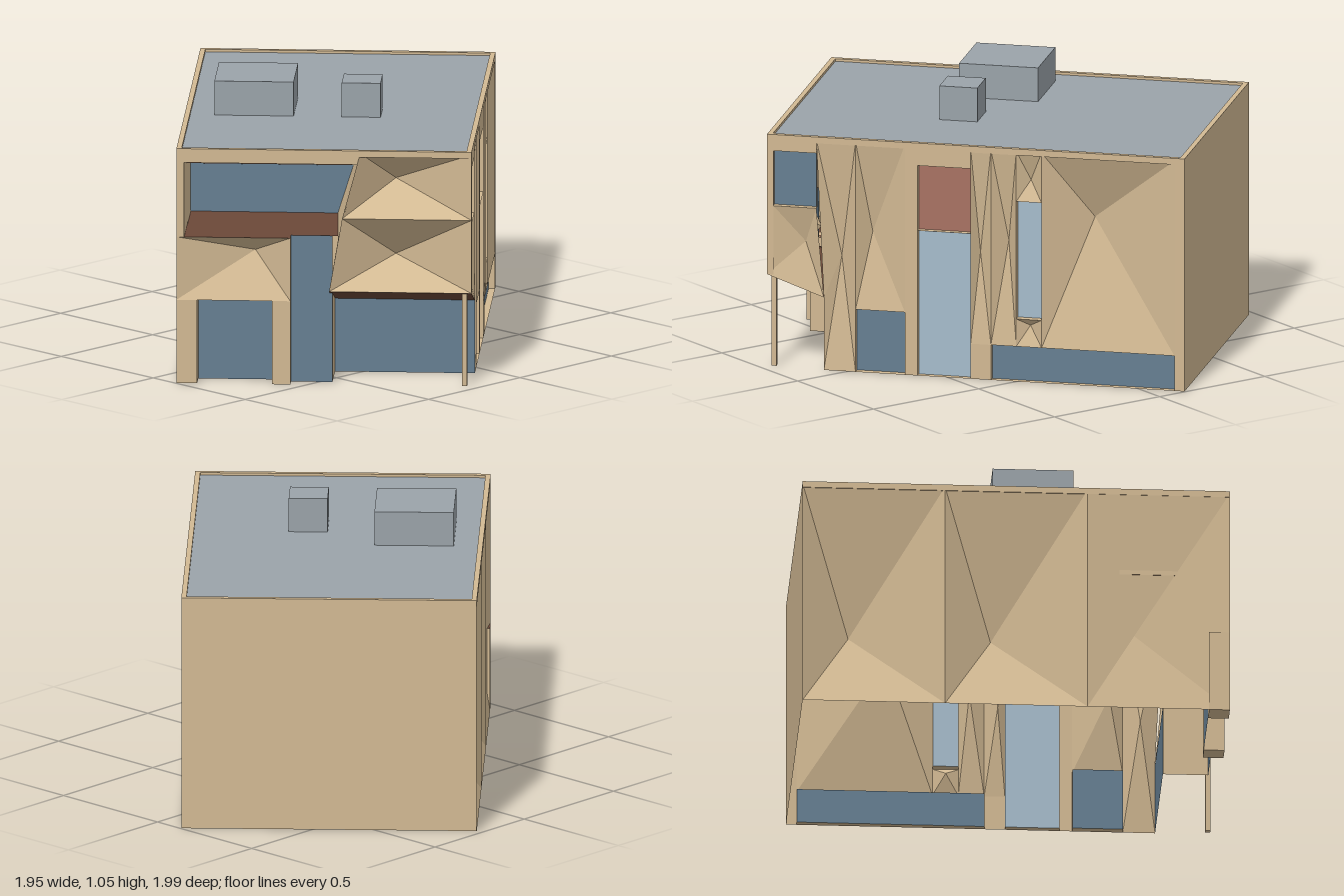
import * as THREE from 'three';

const W = 0.57, L = 0.825, H = 0.92; // half width, half length, wall height
const mat = (color) => new THREE.MeshStandardMaterial({ color, flatShading: true, side: THREE.DoubleSide });
const stone = mat(0xd2b993), glass = mat(0x667f92), paleGlass = mat(0xa6bccb),
  red = mat(0xa87263), brown = mat(0x6b4838), grey = mat(0x9aa3a9);

// Facade coordinates (along, height, depth inwards) to building coordinates
const front = (u, y, d = 0) => [u, y, L - d];
const right = (u, y, d = 0) => [W - d, y, u];
const left = (u, y, d = 0) => [-W + d, y, u];

export function createModel() {
  const model = new THREE.Group();
  const house = new THREE.Group();
  house.name = 'house';
  house.rotation.y = 0.726;
  model.add(house);

  // One mesh from flat convex polygons, each cut into a fan
  function facets(name, material, polygons) {
    const pos = [];
    for (const p of polygons)
      for (let i = 1; i < p.length - 1; i++) pos.push(...p[0], ...p[i], ...p[i + 1]);
    const g = new THREE.BufferGeometry();
    g.setAttribute('position', new THREE.Float32BufferAttribute(pos, 3));
    g.computeVertexNormals();
    const mesh = new THREE.Mesh(g, material);
    mesh.name = name;
    house.add(mesh);
  }
  function box(name, material, x0, x1, y0, y1, z0, z1) {
    const mesh = new THREE.Mesh(new THREE.BoxGeometry(x1 - x0, y1 - y0, z1 - z0), material);
    mesh.position.set((x0 + x1) / 2, (y0 + y1) / 2, (z0 + z1) / 2);
    mesh.name = name;
    house.add(mesh);
  }
  const rect = (u0, u1, y0, y1) => [[u0, y0], [u1, y0], [u1, y1], [u0, y1]];
  const panel = (name, face, corners, material = stone) =>
    facets(name, material, [corners.map((c) => face(...c))]);
  // Panel folded inwards to one point
  const dent = (name, face, corners, tip) =>
    facets(name, stone, corners.map((c, i) => [face(...c), face(...corners[(i + 1) % corners.length]), face(...tip)]));
  // Recessed pane with its reveals
  function opening(name, face, u0, u1, y0, y1, d, material) {
    const r = rect(u0, u1, y0, y1);
    panel(name, face, r.map((c) => [...c, d]), material);
    facets(name + 'Reveal', stone, r.map((c, i) => {
      const n = r[(i + 1) % 4];
      return [face(...c), face(...n), face(...n, d), face(...c, d)];
    }));
  }

  // Back wall
  facets('backWall', stone, [[[-W, 0, -L], [W, 0, -L], [W, H, -L], [-W, H, -L]]]);

  // Left wall: three folded bays
  const bay = (2 * L) / 3;
  [0.146, 0.146, 0.055].forEach((d, i) => {
    const a = -L + i * bay, b = a + bay;
    const tl = left(a, H), bl = left(a, 0), br = left(b, 0), tr = left(b, H), p = left(a + bay / 3, 0.33, d);
    facets('leftWallBay', stone, [[bl, p, tl], [bl, br, p], [tl, p, tr], [p, br, tr]]);
  });

  // Right wall, from the front corner to the back
  panel('cornerStrip', right, rect(0.8, L, 0.37, H));
  opening('upperCornerWindow', right, 0.63, 0.8, 0.645, 0.865, 0.025, glass);
  panel('cornerWindowHead', right, rect(0.63, 0.8, 0.865, H));
  dent('cornerWindowApron', right, [[0.8, 0.645], [0.63, 0.645], [0.6, 0.29], [L, 0.37]], [0.68, 0.5, 0.04]);
  dent('foldedPanel', right, [[0.63, H], [0.475, H], [0.475, 0], [0.6, 0], [0.6, 0.29]], [0.54, 0.45, 0.05]);
  dent('foldedPanel', right, rect(0.28, 0.475, 0.25, H), [0.42, 0.55, 0.06]);
  opening('lowWindow', right, 0.28, 0.475, 0, 0.25, 0.03, glass);
  panel('doorStrip', right, rect(0.23, 0.28, 0, H));
  opening('tallWindow', right, 0.02, 0.23, 0, 0.58, 0.025, paleGlass);
  opening('redPanel', right, 0.02, 0.23, 0.58, 0.84, 0.025, red);
  panel('doorHead', right, rect(0.02, 0.23, 0.84, H));
  dent('foldedPanel', right, rect(-0.06, 0.02, 0.14, H), [-0.01, 0.5, 0.04]);
  panel('foldedPanelBase', right, rect(-0.06, 0.02, 0, 0.14));
  dent('foldedPanel', right, rect(-0.16, -0.06, 0.14, H), [-0.12, 0.55, 0.05]);
  opening('narrowWindow', right, -0.26, -0.16, 0.25, 0.72, 0.03, paleGlass);
  dent('narrowWindowSill', right, rect(-0.26, -0.16, 0.14, 0.25), [-0.21, 0.22, 0.03]);
  dent('narrowWindowHead', right, rect(-0.26, -0.16, 0.72, H), [-0.21, 0.8, 0.04]);
  dent('largeFoldedPanel', right, rect(-0.785, -0.26, 0.14, H), [-0.445, 0.645, 0.12]);
  opening('longLowWindow', right, -0.785, -0.06, 0, 0.14, 0.025, glass);
  panel('backStrip', right, rect(-L, -0.785, 0, H));

  // Front upper right: two stacked folded panels
  dent('upperFrontFold', front, [[0.14, H], [0.07, 0.66], [W, 0.66], [W, H]], [0.27, 0.79, 0.15]);
  dent('lowerFrontFold', front, [[0.07, 0.66], [0.02, 0.37], [W, 0.37], [W, 0.66]], [0.27, 0.49, 0.15]);

  // Terrace behind the front opening
  panel('terraceBeam', front, [[-W, 0.875], [0.128, 0.875], [0.14, H], [-W, H]]);
  panel('terracePillar', front, rect(-W, -0.54, 0.58, 0.875));
  facets('terraceFloor', brown, [
    [[-0.54, 0.58, 0.4], [-0.54, 0.58, L], [-0.13, 0.58, L], [-0.13, 0.58, 0.4]],
    [[-0.13, 0.58, 0.4], [-0.13, 0.58, 0.775], [0.055, 0.58, 0.775], [0.03, 0.58, 0.4]]]);
  facets('terraceCeiling', brown, [[[-0.54, 0.875, L], [0.128, 0.875, L], [0.09, 0.77, 0.4], [-0.54, 0.77, 0.4]]]);
  facets('terraceWindow', glass, [[[-0.54, 0.58, 0.4], [0.03, 0.58, 0.4], [0.09, 0.77, 0.4], [-0.54, 0.77, 0.4]]]);
  facets('terraceSideWalls', stone, [
    [[-0.54, 0.58, L], [-0.54, 0.58, 0.4], [-0.54, 0.77, 0.4], [-0.54, 0.875, L]],
    [[0.055, 0.58, L], [0.128, 0.875, L], [0.09, 0.77, 0.4], [0.03, 0.58, 0.4]]]);

  // Folded balcony front over the entrance
  dent('balconyFront', front, rect(-W, -0.13, 0.33, 0.58), [-0.27, 0.51, 0.1]);
  facets('balconyEnd', stone, [[[-0.13, 0.33, L], [-0.13, 0.58, L], [-0.13, 0.58, 0.775], [-0.13, 0.33, 0.775]]]);
  facets('entranceCeiling', brown, [[[-W, 0.33, L], [-0.13, 0.33, L], [-0.13, 0.33, 0.745], [-W, 0.33, 0.745]]]);
  panel('entranceGlass', front, rect(-0.49, -0.2, 0, 0.33).map((c) => [...c, 0.08]), glass);
  box('entrancePier', stone, -W, -0.49, 0, 0.33, 0.745, L);
  box('entrancePost', stone, -0.2, -0.13, 0, 0.33, 0.745, L);
  panel('tallFrontGlass', front, rect(-0.13, 0.03, 0, 0.58).map((c) => [...c, 0.05]), glass);

  // Recessed ground floor under the overhang
  panel('groundGlass', front, rect(0.03, W, 0, 0.29).map((c) => [...c, 0.225]), glass);
  facets('overhangSoffit', brown, [[[0.02, 0.37, L], [W, 0.37, L], [W, 0.29, 0.6], [0.02, 0.29, 0.6]]]);
  facets('overhangSideWall', stone, [
    [[0.03, 0, 0.6], [0.03, 0, 0.775], [0.03, 0.354, 0.775], [0.03, 0.29, 0.6]],
    [[0.03, 0.354, 0.775], [0.02, 0.37, L], [0.055, 0.58, L], [0.055, 0.58, 0.775]]]);
  box('cornerPost', stone, 0.532, 0.552, 0, 0.37, 0.792, 0.812);

  // Roof, parapet and rooftop units
  facets('roof', grey, [[[-W, H, -L], [-W, H, L], [W, H, L], [W, H, -L]]]);
  for (const s of [-1, 1]) {
    box('parapetSide', stone, s * (W - 0.01) - 0.01, s * (W - 0.01) + 0.01, 0.905, 0.93, -L, L);
    box('parapetEnd', stone, -W + 0.02, W - 0.02, 0.905, 0.93, s * (L - 0.01) - 0.01, s * (L - 0.01) + 0.01);
  }
  box('largeRoofUnit', grey, -0.457, -0.151, H, 1.055, -0.085, 0.227);
  box('smallRoofUnit', grey, 0.035, 0.185, H, 1.055, 0.08, 0.23);

  return model;
}
